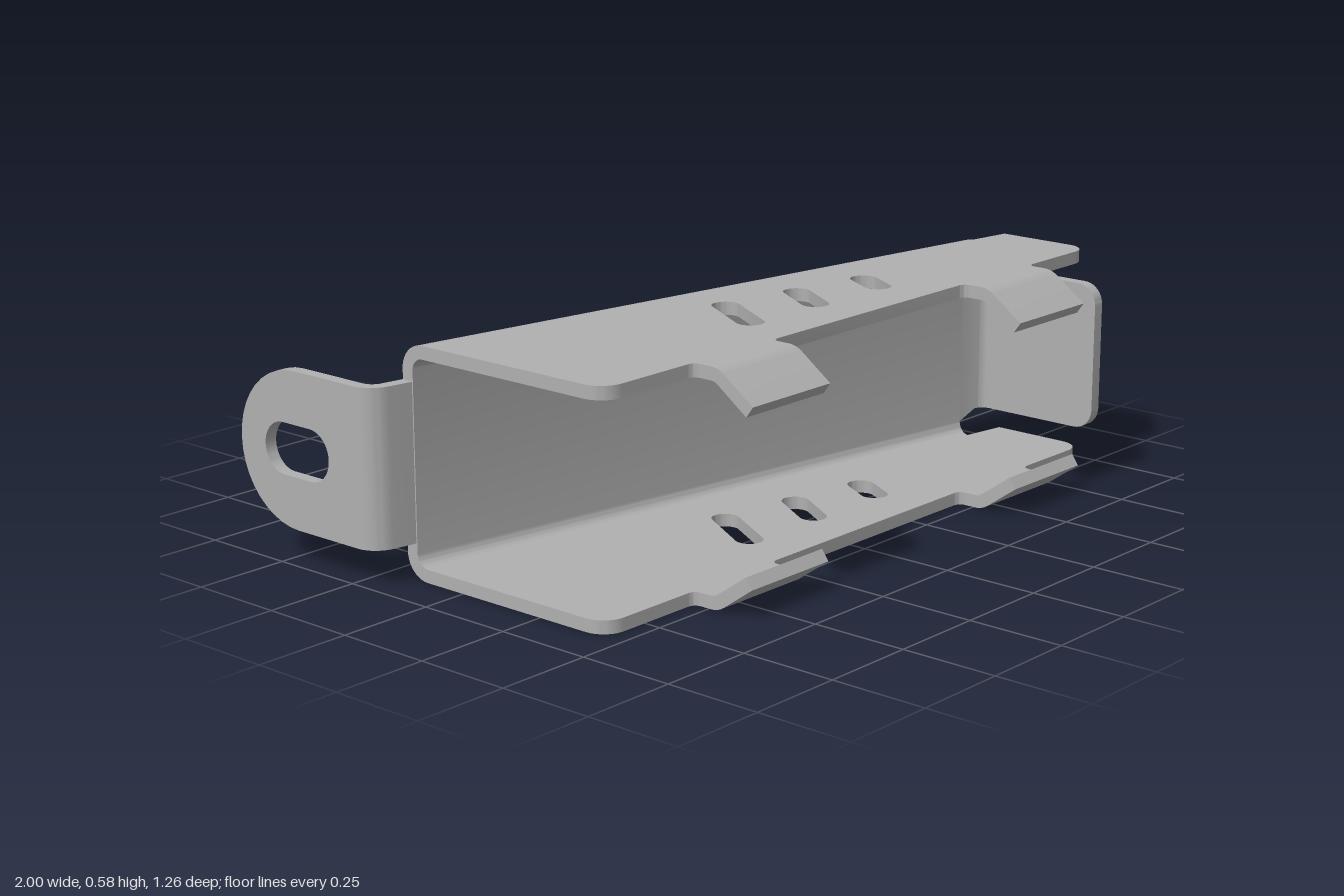
import * as THREE from 'three';
import { toCreasedNormals } from 'three/addons/utils/BufferGeometryUtils.js';

const T = 0.033;            // sheet thickness
const H = 0.578;            // overall height
const R = 0.065;            // outer bend radius
const SLOPE = 0.161;        // slant of the back wall seen from above
const STRETCH = Math.hypot(1, SLOPE);
const wallZ = (x) => -0.043 + SLOPE * x;   // outer face of the back wall
const LOW = 0.092, HIGH = 0.487;           // height range of the end tabs

const steel = new THREE.MeshStandardMaterial({ color: 0xb0b0b0 });
steel.name = 'greySteel';

// Polygon outline from [x, y, cornerRadius] points
function outline(pts, Type = THREE.Shape) {
  const out = [];
  pts.forEach(([x, y, r = 0], i) => {
    const c = new THREE.Vector2(x, y);
    if (!r) { out.push(c); return; }
    const p = pts[(i + pts.length - 1) % pts.length], q = pts[(i + 1) % pts.length];
    const a = c.clone().sub(new THREE.Vector2(p[0], p[1])).normalize();
    const b = new THREE.Vector2(q[0], q[1]).sub(c).normalize();
    const turn = Math.atan2(a.cross(b), a.dot(b)), side = Math.sign(turn);
    const start = c.clone().addScaledVector(a, -r * Math.tan(Math.abs(turn) / 2));
    const centre = start.clone().add(new THREE.Vector2(-a.y, a.x).multiplyScalar(side * r));
    for (let k = 0; k <= 10; k++) out.push(start.clone().rotateAround(centre, turn * k / 10));
  });
  return new Type(out);
}

// Obround between two centres
function slot(ax, ay, bx, by, r) {
  const d = new THREE.Vector2(bx - ax, by - ay).setLength(r), { x, y } = d, s = r * 0.999;
  return outline([
    [ax - x - y, ay - y + x, s], [bx + x - y, by + y + x, s],
    [bx + x + y, by + y - x, s], [ax - x + y, ay - y - x, s],
  ], THREE.Path);
}

// Sheet of thickness T following start - rounded corner - end
function bentStrip(s, c, e) {
  const S = new THREE.Vector2(...s), C = new THREE.Vector2(...c), E = new THREE.Vector2(...e);
  const a = C.clone().sub(S).normalize(), b = E.clone().sub(C).normalize();
  const n1 = new THREE.Vector2(-a.y, a.x), n2 = new THREE.Vector2(-b.y, b.x);
  const miter = n1.clone().add(n2).divideScalar(1 + n1.dot(n2));
  const side = Math.sign(a.cross(b)), h = T / 2, r = R - h;
  const at = (p, n, k, rad) => [p.x + n.x * k, p.y + n.y * k, rad];
  return outline([
    at(S, n1, h, 0), at(C, miter, h, r - side * h), at(E, n2, h, 0),
    at(E, n2, -h, 0), at(C, miter, -h, r + side * h), at(S, n1, -h, 0),
  ]);
}

const extrude = (shape, depth) => new THREE.ExtrudeGeometry(shape, { depth, bevelEnabled: false });
// Shape in (x, -z), raised from y
const flat = (shape, depth, y) => extrude(shape, depth).rotateX(-Math.PI / 2).translate(0, y, 0);
// Shape in (-z, y), running along x
const upright = (shape, depth, x) => extrude(shape, depth).rotateY(Math.PI / 2).translate(x, 0, 0);

export function createModel() {
  const group = new THREE.Group();
  const add = (name, geo) => {
    const mesh = new THREE.Mesh(toCreasedNormals(geo, 0.5), steel);
    mesh.name = name;
    group.add(mesh);
  };

  // Slanted back wall with its upper and lower bends
  const channel = outline([
    [-R, H - T], [-T, H - T, R - T], [-T, T, R - T], [-R, T],
    [-R, 0], [0, 0, R], [0, H, R], [-R, H],
  ]);
  const wall = upright(channel, 1, 0);
  const p = wall.attributes.position;
  for (let i = 0; i < p.count; i++) {
    const v = p.getZ(i);
    const x = THREE.MathUtils.lerp(-0.88, 0.89 - SLOPE * v, p.getX(i));
    p.setX(i, x);
    p.setZ(i, wallZ(x) + v * STRETCH);
  }
  add('backWall', wall);

  // Top and bottom plates with slanted slots and bent front lips
  const lips = [[-0.58, -0.305], [0.447, 0.725]];
  const front = -0.455, lipStart = -0.48;
  const backEdge = (x) => -(wallZ(x) + R * STRETCH);
  const plate = outline([
    [-0.88, backEdge(-0.88)], [-0.88, front, 0.06],
    ...lips.flatMap(([a, b]) => [[a, front, 0.02], [a, lipStart], [b, lipStart], [b, front, 0.02]]),
    [1, front, 0.06], [1, backEdge(1)],
  ]);
  plate.holes.push(
    slot(-0.207, -0.305, -0.117, -0.15, 0.035),
    slot(0.038, -0.305, 0.108, -0.19, 0.035),
    slot(0.285, -0.305, 0.328, -0.228, 0.035),
  );
  for (const top of [true, false]) {
    const word = top ? 'top' : 'bottom';
    const y = (d) => (top ? H - d : d);
    add(word + 'Plate', flat(plate, T, top ? H - T : 0));
    const lip = bentStrip([lipStart, y(T / 2)], [-0.522, y(T / 2)], [-0.62, y(0.087)]);
    for (const [a, b] of lips) add(word + 'Lip', upright(lip, b - a, a));
  }

  // Bends joining the wall to the end tabs
  const midZ = (x) => -(wallZ(x) + T / 2 * STRETCH);
  const edge = 1 - T / 2;
  add('mountBend', flat(bentStrip([-edge, 0.226], [-edge, midZ(-edge)], [-0.88, midZ(-0.88)]), HIGH - LOW, LOW));
  const bend = flat(bentStrip([0.887, midZ(0.887)], [edge, midZ(edge)], [edge, -0.174]), HIGH - LOW, LOW);
  const q = bend.attributes.position;
  for (let i = 0; i < q.count; i++) {
    // Widen the strip where it meets the wall
    if (q.getX(i) < 0.9) q.setY(i, q.getY(i) > H / 2 ? H - R : R);
  }
  add('endBend', bend);

  // Rounded mounting tab with an oblong hole
  const mount = outline([[0.226, LOW], [0.63, LOW, 0.197], [0.63, HIGH, 0.197], [0.226, HIGH]]);
  mount.holes.push(slot(0.383, 0.289, 0.478, 0.289, 0.065));
  add('mountTab', upright(mount, T, -1));

  // Forward closing tab
  const end = outline([[-0.174, LOW], [-0.505, LOW, 0.055], [-0.505, HIGH, 0.055], [-0.174, HIGH]]);
  add('endTab', upright(end, T, 1 - T));

  return group;
}
